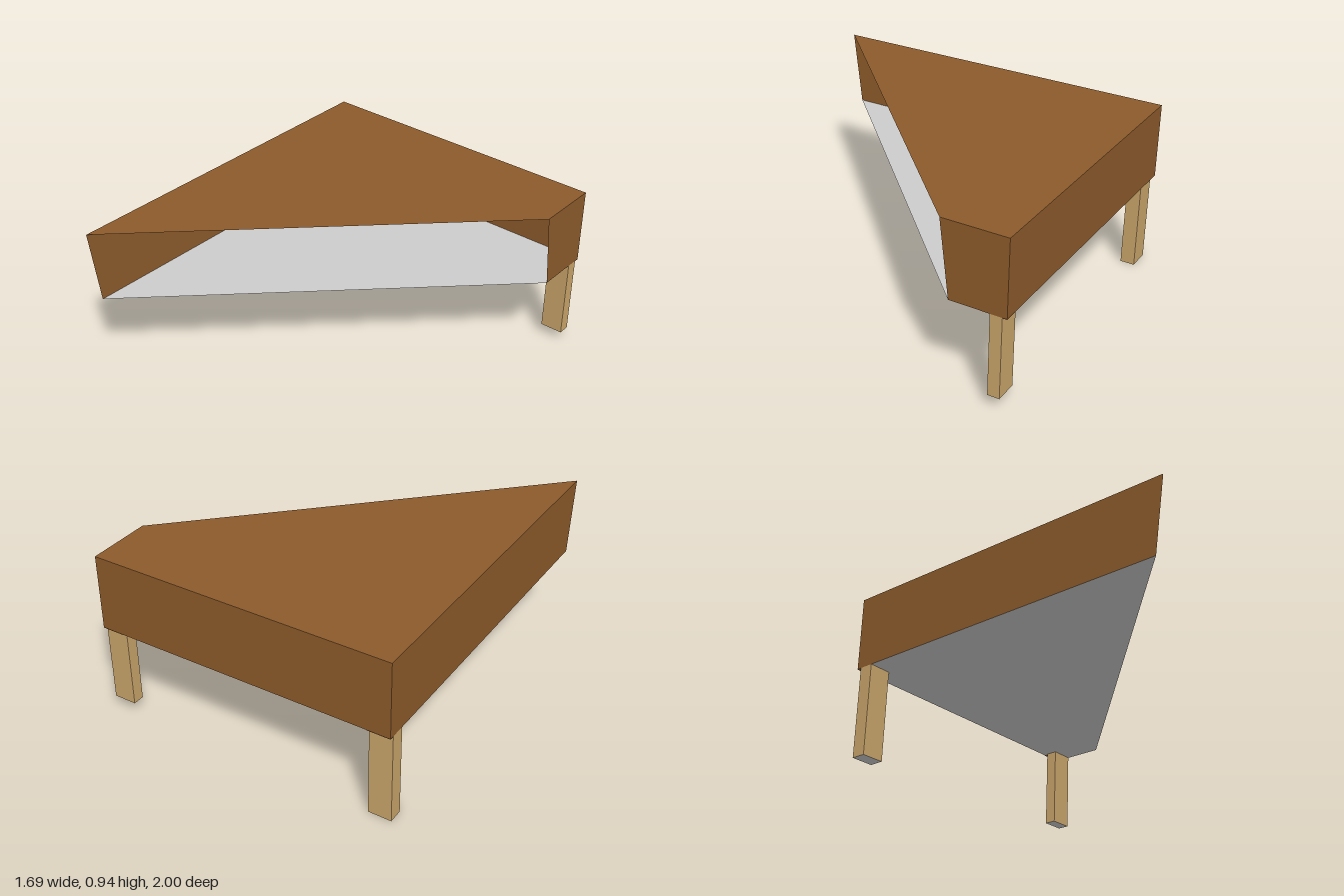
import * as THREE from 'three';

const W = 0.845, TOP = 0.935, LOW = 0.515, BACK = -1;

// Flat convex panel from its corners in order
function panel(name, corners, material) {
  const geo = new THREE.BufferGeometry();
  const index = [];
  for (let i = 1; i < corners.length - 1; i++) index.push(0, i, i + 1);
  geo.setAttribute('position', new THREE.Float32BufferAttribute(corners.flat(), 3));
  geo.setIndex(index);
  geo.computeVertexNormals();
  const mesh = new THREE.Mesh(geo, material);
  mesh.name = name;
  return mesh;
}

export function createModel() {
  const brown = new THREE.MeshStandardMaterial({ color: 0x8b5a2b, side: THREE.DoubleSide });
  brown.name = 'brown wood';
  const tan = new THREE.MeshStandardMaterial({ color: 0xc8a46a });
  tan.name = 'pale wood';
  const grey = new THREE.MeshStandardMaterial({ color: 0xcccccc, side: THREE.DoubleSide });
  grey.name = 'light grey';

  const model = new THREE.Group();
  model.name = 'cornerUnit';

  // Outline corners: back right, back left, short side, long side
  const top = [[-W, TOP, BACK], [-W, TOP, 1], [W, TOP, -0.64], [W, TOP, BACK]];
  const low = [[-W, LOW, BACK], [-W, LOW, 0.95], [W, LOW, -0.69], [W, LOW, BACK]];

  // Shell, open along the diagonal front
  model.add(panel('topBoard', top, brown));
  model.add(panel('floorBoard', [...low].reverse(), grey));
  model.add(panel('longSideWall', [top[0], low[0], low[1], top[1]], brown));
  model.add(panel('shortSideWall', [top[2], low[2], low[3], top[3]], brown));
  model.add(panel('backWall', [top[3], low[3], low[0], top[0]], brown));

  // Back legs with grey undersides, and the brown strip behind each
  for (const [name, side, foot, front] of [['longSideLeg', -1, 0, -0.895], ['shortSideLeg', 1, 0.063, -0.91]]) {
    const width = 0.128, rear = -0.975, x = side * (W - width / 2);
    const leg = new THREE.Mesh(
      new THREE.BoxGeometry(width, LOW - foot, front - rear),
      [tan, tan, tan, grey, tan, tan]
    );
    leg.name = name;
    leg.position.set(x, (LOW + foot) / 2, (front + rear) / 2);
    model.add(leg);

    const a = x - width / 2, b = x + width / 2, y = LOW - 0.002;
    model.add(panel(name + 'Strip', [[a, y, BACK], [b, y, BACK], [b, y, rear], [a, y, rear]], brown));
  }
  return model;
}
